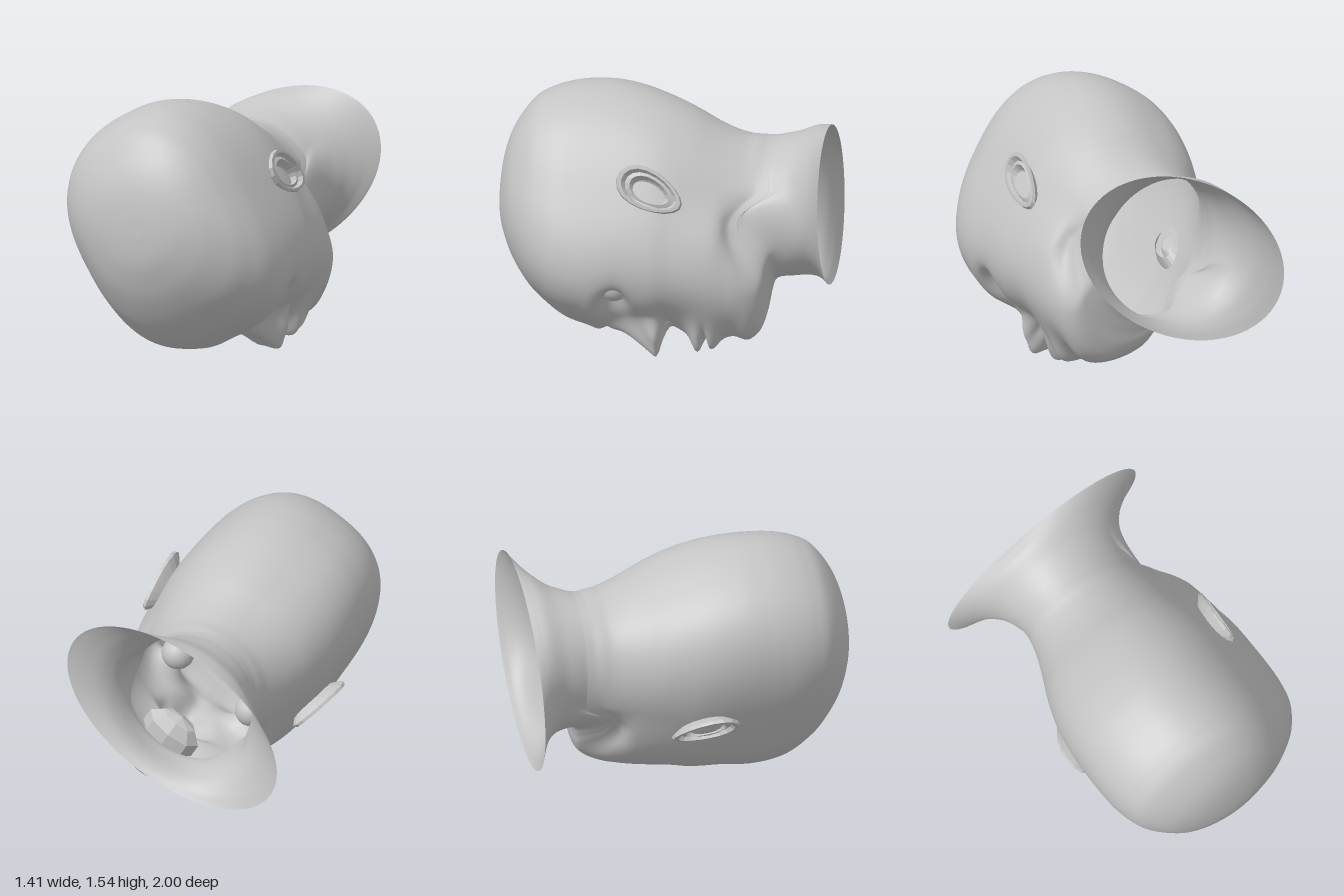
import * as THREE from 'three';

const { smoothstep, lerp, clamp } = THREE.MathUtils;

const skin = new THREE.MeshStandardMaterial({ color: 0xc4c4c4, side: THREE.DoubleSide });
skin.name = 'grey skin';

// Cross-sections from crown to neck: z, half width, back y, front y, squareness
const SECTIONS = [
  [1, 0, 0.05, 0.05, 2], [0.99, 0.14, 0.21, -0.09, 2.1], [0.96, 0.27, 0.37, -0.2, 2.2],
  [0.9, 0.395, 0.51, -0.34, 2.3], [0.8, 0.495, 0.645, -0.487, 2.4], [0.7, 0.543, 0.708, -0.58, 2.4],
  [0.6, 0.57, 0.743, -0.65, 2.4], [0.5, 0.58, 0.763, -0.69, 2.4], [0.4, 0.584, 0.77, -0.704, 2.4],
  [0.3, 0.585, 0.768, -0.697, 2.4], [0.2, 0.584, 0.752, -0.68, 2.4], [0.1, 0.579, 0.727, -0.68, 2.4],
  [0, 0.568, 0.692, -0.682, 2.4], [-0.1, 0.545, 0.652, -0.678, 2.4], [-0.2, 0.515, 0.605, -0.678, 2.4],
  [-0.3, 0.483, 0.553, -0.688, 2.3], [-0.4, 0.45, 0.51, -0.7, 2.2], [-0.5, 0.42, 0.483, -0.71, 2.1],
  [-0.57, 0.402, 0.479, -0.712, 2.1], [-0.615, 0.4, 0.479, -0.69, 2], [-0.642, 0.4, 0.48, -0.61, 2],
  [-0.656, 0.4, 0.481, -0.5, 2], [-0.69, 0.402, 0.485, -0.39, 2], [-0.8, 0.44, 0.51, -0.365, 2],
  [-0.9, 0.535, 0.545, -0.355, 2], [-0.96, 0.645, 0.548, -0.37, 2], [-1, 0.752, 0.545, -0.405, 2],
];

const bump = (x, z, cx, cz, sx, sz, h) =>
  h * Math.exp(-(((x - cx) / sx) ** 2) - ((z - cz) / sz) ** 2);

// How far the face stands out from the plain head, by place
function faceRelief(x, z) {
  const ax = Math.abs(x);
  // nose: a ridge widening down to the tip, cut off sharply below
  const ridge = z > 0.01
    ? Math.max(0, 1 - (z - 0.01) / 0.3)
    : 1 - smoothstep(-z, -0.005, 0.07);
  const width = lerp(0.125, 0.065, clamp(z / 0.28, 0, 1));
  let d = 0.215 * ridge * Math.exp(-((x / width) ** 2));
  d += bump(ax, z, 0.055, -0.045, 0.025, 0.025, -0.06); // nostrils
  d += bump(ax, z, 0.12, 0.02, 0.045, 0.05, 0.045);     // nose wings
  d += bump(ax, z, 0.19, 0.37, 0.16, 0.06, 0.025);      // brow
  d += bump(x, z, 0, 0.3, 0.09, 0.08, 0.025);           // nose root
  d += bump(ax, z, 0.29, 0.25, 0.1, 0.075, -0.12);      // eye sockets
  d += bump(ax, z, 0.3, 0.06, 0.14, 0.1, 0.015);        // cheeks
  d += bump(x, z, 0, -0.28, 0.2, 0.16, 0.115);          // mouth mound
  d += bump(x, z, 0, -0.24, 0.12, 0.04, 0.07);          // upper lip
  d += bump(x, z, 0, -0.335, 0.11, 0.04, 0.045);        // lower lip
  d += bump(x, z, 0, -0.288, 0.11, 0.016, -0.08);       // mouth line
  d += bump(x, z, 0, -0.54, 0.16, 0.07, 0.05);          // chin
  return d;
}

// Head and flared neck as one skin, open at the neck
function headGeometry(rows = 180, cols = 200) {
  const pos = [], index = [];
  const spline = pick => new THREE.CatmullRomCurve3(
    SECTIONS.map(s => new THREE.Vector3(...pick(s))), false, 'catmullrom', 0.5);
  const sizes = spline(s => [s[0], s[1], s[4]]);
  const depths = spline(s => [s[2], s[3], 0]);
  for (let i = 0; i <= rows; i++) {
    const { x: z, y: a, z: n } = sizes.getPoint(i / rows);
    const { x: back, y: front } = depths.getPoint(i / rows);
    const yc = (back + front) / 2 * (smoothstep(z, 0.3, 0.9) + smoothstep(-z, 0.62, 0.78));
    // the face is squarer than the back of the head, and the jaw wider than the nape
    const square = 0.6 * (1 - smoothstep(z, 0.6, 0.95)) * (1 - smoothstep(-z, 0.45, 0.66));
    const jaw = 0.075 * smoothstep(-z, 0.05, 0.4) * (1 - smoothstep(-z, 0.5, 0.67));
    // the jaw's lower edge climbs from the chin towards the ears
    const climb = 0.16 * smoothstep(-z, 0.33, 0.64) * (1 - smoothstep(-z, 0.64, 0.85));
    for (let j = 0; j < cols; j++) {
      const t = (j / cols) * Math.PI * 2, c = Math.cos(t), s = Math.sin(t);
      const m = s < 0 ? n + square : n;
      const r = (Math.abs(c) ** m + Math.abs(s) ** m) ** (-1 / m);
      const x = a * c * r * (1 + jaw * smoothstep(-s, -0.1, 0.45));
      let y = yc + s * r * (s > 0 ? back - yc : yc - front);
      if (s < 0 && z > -0.69 && z < 0.7) y -= faceRelief(x, z) * Math.min(1, -2.5 * s);
      pos.push(x, y, z + climb * smoothstep(-s, -0.15, 0.2) * (1 - smoothstep(-s, 0.25, 0.75)));
      if (i < rows) {
        const p = i * cols + j, q = i * cols + ((j + 1) % cols);
        index.push(p, p + cols, q, q, p + cols, q + cols);
      }
    }
  }
  const g = new THREE.BufferGeometry();
  g.setAttribute('position', new THREE.Float32BufferAttribute(pos, 3));
  g.setIndex(index);
  g.computeVertexNormals();
  return g;
}

// Ear: a shallow folded dish, narrowing to the lobe and leaning away from the head
function earGeometry(side) {
  const profile = [[0.55, -0.07], [0.88, -0.02], [1, 0.0], [0.96, 0.02], [0.84, 0.022],
    [0.74, -0.005], [0.6, 0.005], [0.48, -0.03], [0.25, -0.055], [0, -0.055]]
    .map(p => new THREE.Vector2(...p));
  const g = new THREE.LatheGeometry(profile, 18).toNonIndexed();
  const p = g.attributes.position;
  const tilt = 0.42;
  for (let i = 0; i < p.count; i++) {
    const along = p.getX(i) * 0.215, h = p.getY(i);
    const across = p.getZ(i) * (0.12 + 0.025 * p.getX(i));
    const z = 0.035 + along * Math.cos(tilt) - across * Math.sin(tilt);
    const y = 0.015 + along * Math.sin(tilt) + across * Math.cos(tilt);
    p.setXYZ(i, side * (0.592 + 0.28 * y + h), y, z);
  }
  if (side < 0) { // keep faces outward on the mirrored ear
    for (let i = 0; i < p.count; i += 3) {
      const b = new THREE.Vector3().fromBufferAttribute(p, i + 1);
      const c = new THREE.Vector3().fromBufferAttribute(p, i + 2);
      p.setXYZ(i + 1, c.x, c.y, c.z);
      p.setXYZ(i + 2, b.x, b.y, b.z);
    }
  }
  g.computeVertexNormals();
  return g;
}

// Faceted pocket behind the lips, seen through the open neck
function mouthPocketGeometry() {
  const g = new THREE.SphereGeometry(1, 8, 5).toNonIndexed();
  g.scale(0.19, 0.15, 0.1);
  g.computeVertexNormals();
  return g;
}

export function createModel() {
  const model = new THREE.Group();
  model.name = 'lyingHead';
  // the head lies face down, rolled to its left
  const head = new THREE.Group();
  head.name = 'head';
  head.position.set(0.012, 0.778, 0);
  head.rotation.z = Math.PI / 6;
  model.add(head);

  const add = (geometry, name, x = 0, y = 0, z = 0) => {
    const mesh = new THREE.Mesh(geometry, skin);
    mesh.name = name;
    mesh.position.set(x, y, z);
    head.add(mesh);
  };

  add(headGeometry(), 'headAndNeck');
  add(mouthPocketGeometry(), 'mouthPocket', 0, -0.6, -0.29);
  for (const side of [1, -1]) {
    const label = side > 0 ? 'left' : 'right';
    add(earGeometry(side), label + 'Ear');
    add(new THREE.SphereGeometry(0.1, 20, 14), label + 'Eyeball', side * 0.28, -0.515, 0.25);
  }
  return model;
}
